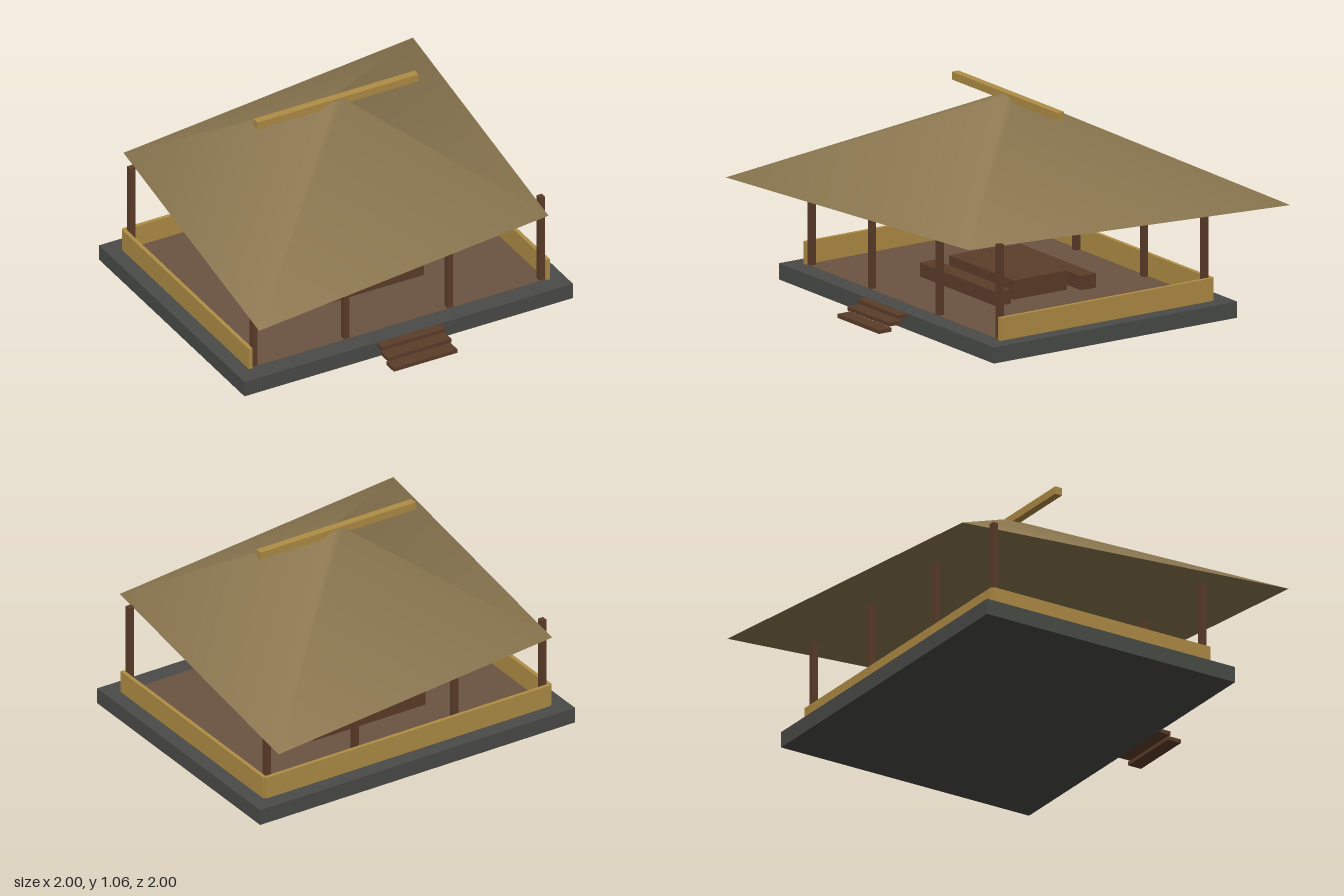
import * as THREE from 'three';

const material = (name, color) => {
  const m = new THREE.MeshStandardMaterial({ color });
  m.name = name;
  return m;
};

export function createModel() {
  const stone = material('stone', 0x4a4c48);
  const floorWood = material('floorWood', 0x6b5443);
  const darkWood = material('darkWood', 0x5c3d2a);
  const bamboo = material('bamboo', 0xb08d45);
  const thatch = material('thatch', 0x8b7750);

  const model = new THREE.Group();
  model.name = 'pavilion';

  // Box given by its extents on each axis
  const box = (name, mat, [x0, x1], [y0, y1], [z0, z1]) => {
    const mesh = new THREE.Mesh(new THREE.BoxGeometry(x1 - x0, y1 - y0, z1 - z0), mat);
    mesh.position.set((x0 + x1) / 2, (y0 + y1) / 2, (z0 + z1) / 2);
    mesh.name = name;
    model.add(mesh);
    return mesh;
  };

  // Platform and inner floor
  const deck = 0.083;
  box('platform', stone, [-0.93, 0.93], [0, deck], [-0.73, 0.73]);
  box('floor', floorWood, [-0.83, 0.83], [deck - 0.004, deck + 0.002], [-0.63, 0.63]);

  // Entrance steps
  for (let i = 0; i < 3; i++) {
    const y = 0.005 + i * 0.028, z = 0.9 - i * 0.06;
    box('step', darkWood, [-0.18, 0.18], [y, y + 0.02], [z - 0.075, z]);
  }

  // Two rows of posts
  for (const z of [-0.613, 0.613]) {
    for (const x of [-0.813, -0.293, 0.293, 0.813]) {
      box('post', darkWood, [x - 0.015, x + 0.015], [deck, 0.567], [z - 0.015, z + 0.015]);
    }
  }

  // Low walls on the sides and back; the front stays open
  for (const s of [-1, 1]) {
    const xs = s < 0 ? [-0.852, -0.832] : [0.832, 0.852];
    box('sideRail', bamboo, xs, [deck, 0.2], [-0.637, 0.637]);
  }
  box('backRail', bamboo, [-0.842, 0.842], [deck, 0.2], [-0.649, -0.629]);

  // Table with a bench on either side
  box('table', darkWood, [-0.28, 0.28], [deck, 0.183], [-0.16, 0.16]);
  for (const z of [-0.255, 0.255]) {
    box('bench', darkWood, [-0.33, 0.33], [deck, 0.157], [z - 0.045, z + 0.045]);
  }

  // Four-sided roof, stretched along one diagonal
  const roof = new THREE.Mesh(new THREE.CylinderGeometry(0.033, 1.088, 0.5, 4), thatch);
  roof.name = 'roof';
  roof.scale.x = 1.3;
  roof.rotation.y = Math.PI / 4;
  roof.position.y = 0.8;
  model.add(roof);

  // Ridge beam
  box('ridgeBeam', bamboo, [-0.457, 0.457], [1.02, 1.06], [-0.02, 0.02]);

  return model;
}
